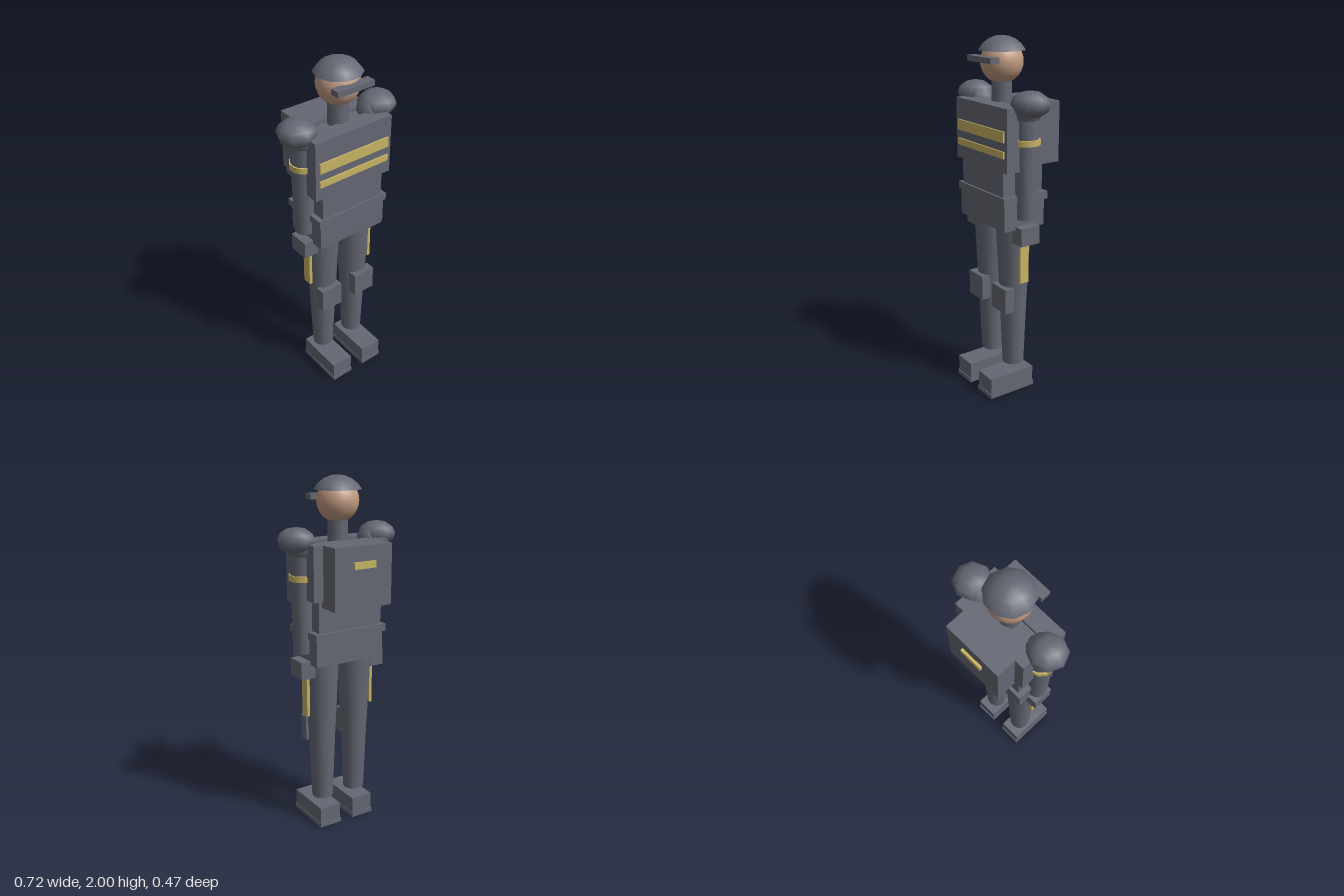
import * as THREE from 'three';

const mat = (name, color, side = THREE.FrontSide) => {
  const m = new THREE.MeshStandardMaterial({ color, side });
  m.name = name;
  return m;
};

export function createModel() {
  const model = new THREE.Group();
  model.name = 'guardFigure';
  const grey = mat('slate grey', 0x646773, THREE.DoubleSide);
  const yellow = mat('dull yellow', 0xc8b464);
  const skin = mat('skin', 0xc09a80);
  const Z = 0.031; // shared centre line of head, arms and legs

  const add = (name, geo, material, x, y, z) => {
    const mesh = new THREE.Mesh(geo, material);
    mesh.name = name;
    mesh.position.set(x, y, z);
    model.add(mesh);
    return mesh;
  };
  // box from centre x, width, and y and z ranges
  const box = (name, material, x, w, y0, y1, z0, z1) =>
    add(name, new THREE.BoxGeometry(w, y1 - y0, z1 - z0), material, x, (y0 + y1) / 2, (z0 + z1) / 2);
  // upright tapered limb
  const limb = (name, material, x, y0, y1, rBottom, rTop, sides = 12) =>
    add(name, new THREE.CylinderGeometry(rTop, rBottom, y1 - y0, sides), material, x, (y0 + y1) / 2, Z);

  // head, cap and visor
  add('head', new THREE.SphereGeometry(0.115, 20, 14), skin, 0, 1.866, Z);
  add('cap', new THREE.SphereGeometry(0.15, 10, 4, 0, Math.PI * 2, 0, Math.PI / 3), grey, 0, 1.85, Z);
  box('visor', grey, 0, 0.226, 1.868, 1.898, 0.121, 0.176);
  limb('neck', grey, 0, 1.63, 1.79, 0.055, 0.055);

  // torso and vest
  box('torso', grey, 0, 0.395, 1.17, 1.64, -0.093, 0.16);
  box('frontPlate', grey, 0, 0.488, 1.325, 1.66, 0.065, 0.167);
  box('backPlate', grey, 0, 0.47, 1.363, 1.66, -0.107, -0.01);
  box('belt', grey, 0, 0.452, 1.147, 1.188, -0.112, 0.172);
  box('hips', grey, 0, 0.43, 1.0, 1.15, -0.096, 0.164);
  box('upperChestStripe', yellow, 0, 0.444, 1.485, 1.543, 0.1665, 0.176);
  box('lowerChestStripe', yellow, 0, 0.444, 1.402, 1.438, 0.1665, 0.176);

  // backpack
  box('backpack', grey, 0, 0.356, 1.328, 1.66, -0.22, -0.088);
  box('backpackMark', yellow, 0, 0.134, 1.542, 1.578, -0.235, -0.219);

  for (const [side, s] of [['left', 1], ['right', -1]]) {
    // arm
    const arm = s * 0.223;
    add(side + 'Shoulder', new THREE.SphereGeometry(0.085, 10, 8), grey, arm, 1.64, Z);
    add(side + 'ShoulderPad', new THREE.SphereGeometry(0.105, 8, 6), grey, s * 0.257, 1.673, Z).scale.y = 0.68;
    limb(side + 'UpperArm', grey, arm, 1.328, 1.62, 0.061, 0.069);
    limb(side + 'Forearm', grey, arm, 1.06, 1.328, 0.053, 0.061);
    limb(side + 'ArmBand', yellow, arm, 1.461, 1.493, 0.075, 0.075, 10);
    box(side + 'Hand', grey, s * 0.227, 0.088, 0.92, 1.02, -0.027, 0.093);

    // leg
    const leg = s * 0.109;
    limb(side + 'Thigh', grey, leg, 0.58, 1.0, 0.078, 0.097);
    limb(side + 'Shin', grey, leg, 0.16, 0.58, 0.061, 0.077);
    box(side + 'LegStripe', yellow, s * 0.211, 0.018, 0.685, 0.98, 0.006, 0.06);
    box(side + 'KneePad', grey, s * 0.118, 0.136, 0.507, 0.65, 0.08, 0.136);
    box(side + 'Boot', grey, s * 0.111, 0.132, 0.02, 0.12, -0.06, 0.226);
    box(side + 'Sole', grey, s * 0.111, 0.138, 0, 0.025, -0.066, 0.231);
  }
  return model;
}
